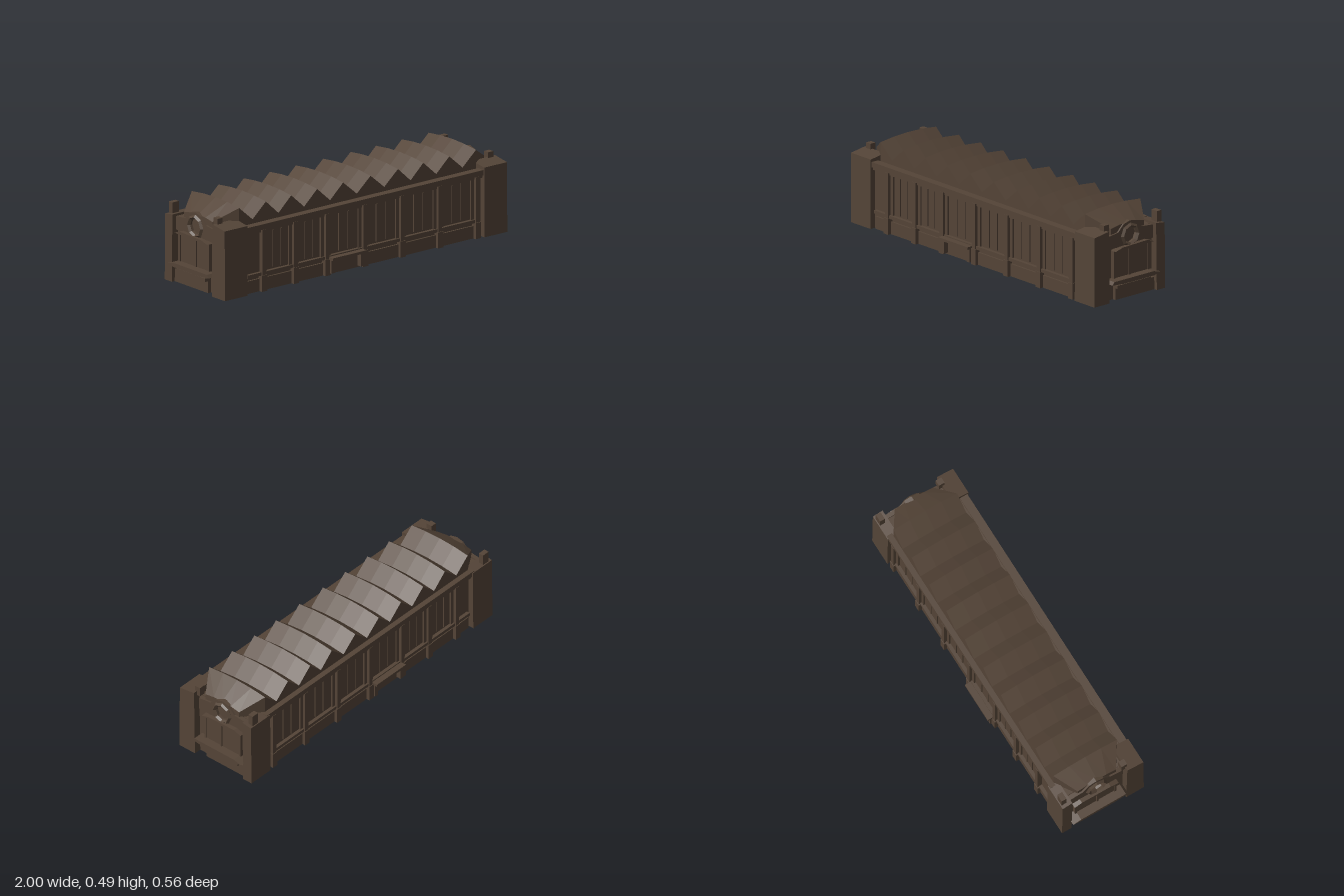
import * as THREE from 'three';

const brown = new THREE.MeshStandardMaterial({ color: 0x544437, flatShading: true });
brown.name = 'dark brown';

export function createModel() {
  const root = new THREE.Group();
  root.name = 'sawtoothHall';

  const add = (name, geo, parent = root) => {
    const m = new THREE.Mesh(geo, brown);
    m.name = name;
    parent.add(m);
    return m;
  };
  // box given by its limits on each axis
  const box = (name, x0, x1, y0, y1, z0, z1, parent) => {
    const g = new THREE.BoxGeometry(x1 - x0, y1 - y0, Math.abs(z1 - z0));
    g.translate((x0 + x1) / 2, (y0 + y1) / 2, (z0 + z1) / 2);
    return add(name, g, parent);
  };
  // outline in (z, y), extruded along x from x0 to x1
  const slab = (name, pts, x0, x1, parent, hole) => {
    const s = new THREE.Shape(pts.map(([z, y]) => new THREE.Vector2(-z, y)));
    if (hole) s.holes.push(hole);
    const g = new THREE.ExtrudeGeometry(s, { depth: x1 - x0, bevelEnabled: false, curveSegments: 4 });
    g.rotateY(Math.PI / 2).translate(x0, 0, 0);
    return add(name, g, parent);
  };

  // main body
  box('hallBody', -0.92, 0.92, 0, 0.365, -0.222, 0.222);

  // long side walls with pilasters, window bays and ledges
  const posts = [-0.70, -0.48, -0.26, 0, 0.26, 0.52, 0.78];
  for (const s of [1, -1]) {
    const wall = new THREE.Group();
    wall.name = s > 0 ? 'frontWall' : 'backWall';
    root.add(wall);
    const strip = (name, x0, x1, y0, y1, out) => box(name, x0, x1, y0, y1, s * 0.20, s * out, wall);
    strip('cornice', -0.84, 0.84, 0.345, 0.375, 0.246);
    strip('corniceLip', -0.84, 0.84, 0.33, 0.345, 0.237);
    for (const x of posts) {
      strip('pilaster', x - 0.013, x + 0.013, 0, 0.345, 0.248);
      strip('pilasterFoot', x - 0.018, x + 0.018, 0, 0.09, 0.252);
    }
    const edges = [-0.82, ...posts, 0.82];
    for (let i = 0; i < edges.length - 1; i++) {
      const a = edges[i] + 0.014, b = edges[i + 1] - 0.014, w = b - a;
      if (w < 0.05) continue;
      strip('sill', a, b, 0.088, 0.106, 0.242);
      strip('plinth', a, b, 0, 0.07, 0.232);
      if (w < 0.12) continue;
      // window frame and mullions
      strip('jamb', a, a + 0.02, 0.106, 0.33, 0.232);
      strip('jamb', b - 0.02, b, 0.106, 0.33, 0.232);
      for (const t of [0.36, 0.64]) {
        const m = a + w * t;
        strip('mullion', m - 0.004, m + 0.004, 0.115, 0.325, 0.227);
      }
    }
    // entrance canopy with posts
    strip('canopy', -0.25, -0.015, 0.085, 0.1, 0.278);
    for (const x of [-0.235, -0.03]) strip('canopyPost', x - 0.012, x + 0.012, 0.01, 0.085, 0.262);
  }

  // sawtooth roof: cross-sections at every ridge and valley, hipped at both ends
  const ridges = [-0.82, -0.635, -0.46, -0.28, -0.10, 0.09, 0.28, 0.455, 0.635, 0.82];
  const stations = [{ x: -0.94, y: 0.40, k: 0.6 }];
  ridges.forEach((x, i) => {
    if (i) stations.push({ x: (x + ridges[i - 1]) / 2, y: 0.392, k: 1 });
    stations.push({ x, y: 0.473, k: 1 });
  });
  stations.push({ x: 0.94, y: 0.40, k: 0.6 });
  const cols = [1, 1, 0.5, 0, -0.5, -1, -1];
  const pos = [], idx = [];
  stations.forEach(({ x, y, k }) => cols.forEach((c, j) => {
    const skirt = j === 0 || j === cols.length - 1;
    pos.push(x, skirt ? 0.35 : y + 0.014 * (1 - c * c), -0.016 + 0.199 * c * k);
  }));
  const n = cols.length;
  for (let i = 0; i < stations.length - 1; i++) {
    for (let j = 0; j < n - 1; j++) {
      const a = i * n + j, b = a + n;
      idx.push(a, b, b + 1, a, b + 1, a + 1);
    }
  }
  // close both ends
  const last = (stations.length - 1) * n;
  for (let j = 1; j < n - 1; j++) idx.push(0, j, j + 1, last, last + j + 1, last + j);
  const roof = new THREE.BufferGeometry();
  roof.setAttribute('position', new THREE.Float32BufferAttribute(pos, 3));
  roof.setIndex(idx);
  const roofFlat = roof.toNonIndexed();
  roofFlat.computeVertexNormals();
  add('sawtoothRoof', roofFlat);

  // both gable ends, the second turned by mirroring the x limits
  for (const s of [1, -1]) {
    const end = new THREE.Group();
    end.name = s > 0 ? 'leftEnd' : 'rightEnd';
    root.add(end);
    const span = (a, b) => (s > 0 ? [a, b] : [-b, -a]);
    const bar = (name, a, b, y0, y1, z0, z1) => box(name, ...span(a, b), y0, y1, z0, z1, end);

    // corner towers
    slab('frontTower', [[0.255, 0], [0.145, 0], [0.152, 0.405], [0.253, 0.39]], ...span(0.82, 0.978), end);
    slab('backTower', [[-0.195, 0], [-0.255, 0], [-0.251, 0.37], [-0.19, 0.378]], ...span(0.82, 0.975), end);
    bar('towerCap', 0.91, 0.955, 0.37, 0.435, -0.245, -0.215);
    bar('towerCap', 0.92, 0.955, 0.38, 0.435, 0.13, 0.165);

    // end wall, tapering base and ledges
    bar('endWall', 0.90, 0.935, 0, 0.36, -0.20, 0.15);
    bar('endPlinth', 0.92, 0.955, 0, 0.07, -0.20, 0.085);
    bar('lowerLedge', 0.92, 0.975, 0.066, 0.085, -0.155, 0.085);
    slab('upperLedge', [[0.145, 0.105], [0.06, 0.098], [-0.155, 0.098], [-0.2, 0.11], [-0.15, 0.122], [0.13, 0.122]],
      ...span(0.92, 1.0), end);
    bar('endWindow', 0.93, 0.95, 0.122, 0.275, -0.155, 0.09);
    for (const z of [0.09, -0.02, -0.155]) bar('endMullion', 0.93, 0.956, 0.122, 0.275, z - 0.006, z + 0.006);
    slab('endCornice', [[0.10, 0.278], [-0.175, 0.28], [-0.13, 0.297], [0.05, 0.292]], ...span(0.92, 0.975), end);

    // arched parapet with a round opening
    const hole = new THREE.Path();
    hole.absarc(0.025, 0.345, 0.045, 0, Math.PI * 2, true);
    slab('parapet', [[0.14, 0.29], [-0.19, 0.29], [-0.19, 0.365], [-0.11, 0.372], [-0.07, 0.415],
      [-0.025, 0.424], [0.02, 0.412], [0.06, 0.372], [0.14, 0.362]], ...span(0.925, 0.95), end, hole);
    const ring = add('roundWindowFrame', new THREE.TorusGeometry(0.055, 0.012, 4, 8), end);
    ring.rotation.y = Math.PI / 2;
    ring.position.set(s * 0.952, 0.345, -0.025);
  }
  return root;
}
